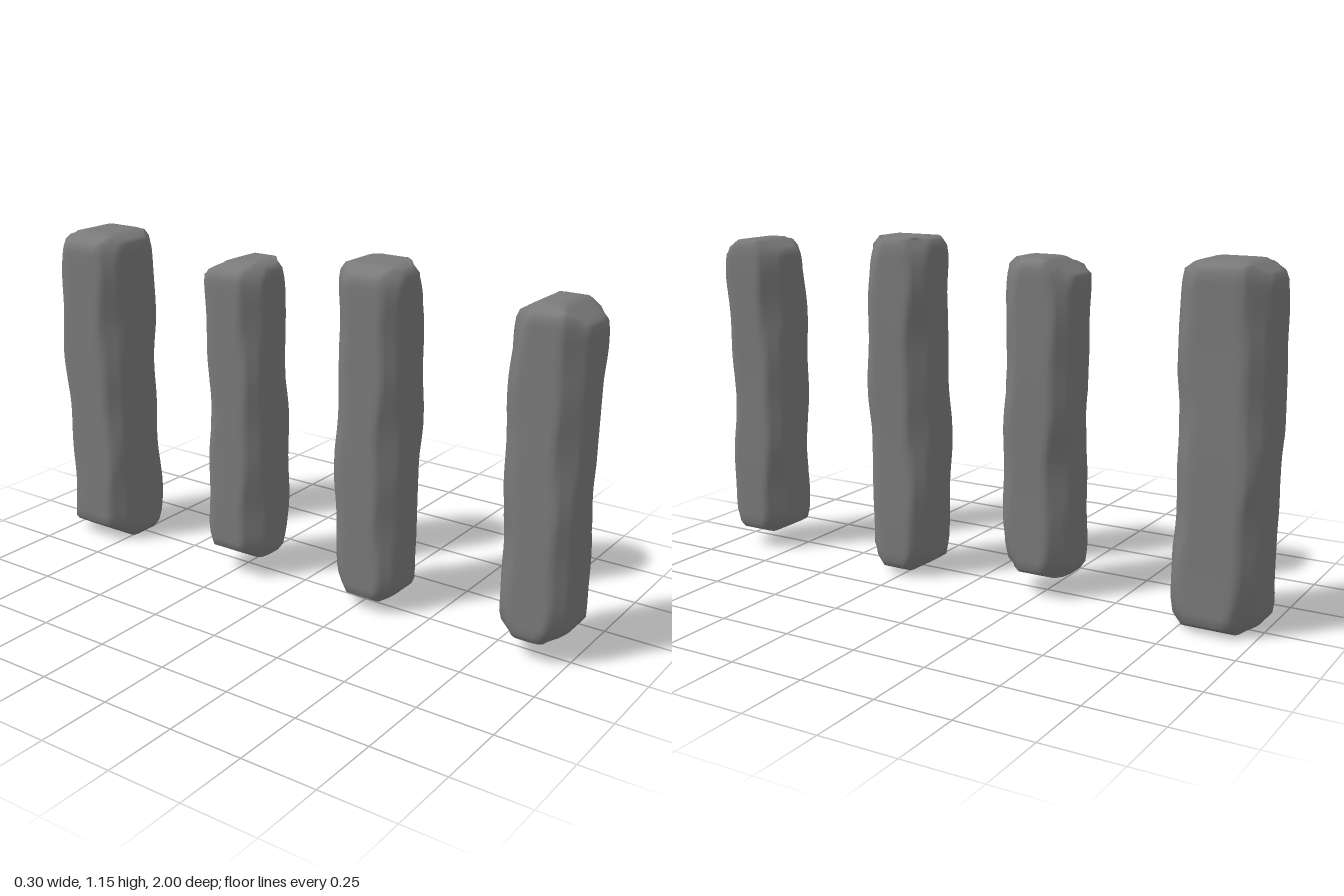
import * as THREE from 'three';
import { mergeVertices } from 'three/addons/utils/BufferGeometryUtils.js';

const material = new THREE.MeshStandardMaterial({ color: 0x7a7a7a });

// Centre, width and height range; the drops tell how far each end
// is worn away at its left, front, right and back edge.
const pillars = [
  { x: 0.03, z: 0.88, width: 0.24, base: 0.06, top: 1.12, topDrop: [0.01, 0.055, 0.03, 0.045], baseDrop: [0.015, 0.05, 0.015, 0.03] },
  { x: 0.03, z: 0.27, width: 0.24, base: 0.02, top: 1.155, topDrop: [0.01, 0.02, 0.035, 0.015], baseDrop: [0.01, 0.05, 0.035, 0.035] },
  { x: -0.01, z: -0.235, width: 0.24, base: 0.07, top: 1.11, topDrop: [0.02, 0.02, 0.04, 0.06], baseDrop: [0.02, 0.01, 0.035, 0.01] },
  { x: -0.015, z: -0.86, width: 0.28, base: 0, top: 1.135, topDrop: [0.02, 0.03, 0.04, 0.045], baseDrop: [0.03, 0.01, 0.06, 0.04] }
];

// Press a point back onto the sloping plane that cuts off one edge;
// u and v are the axes across the edge, each with its side and cut length
function chipEdge(p, half, u, sideU, cutU, v, sideV, cutV) {
  const depth = 1 - (half[u] - sideU * p[u]) / cutU - (half[v] - sideV * p[v]) / cutV;
  if (depth <= 0) return;
  const push = depth / (1 / cutU ** 2 + 1 / cutV ** 2);
  p[u] -= sideU * push / cutU;
  p[v] -= sideV * push / cutV;
}

function pillarGeometry({ width, base, top, topDrop, baseDrop }, index) {
  const box = new THREE.BoxGeometry(width, top - base, width, 12, 36, 12);
  box.deleteAttribute('uv');
  box.deleteAttribute('normal');
  const geometry = mergeVertices(box);
  const pos = geometry.attributes.position;
  const half = new THREE.Vector3(width, top - base, width).multiplyScalar(0.5);
  const radius = 0.03;
  const inner = half.clone().subScalar(radius);
  const innerMin = inner.clone().negate();
  const p = new THREE.Vector3(), core = new THREE.Vector3();

  for (let i = 0; i < pos.count; i++) {
    p.fromBufferAttribute(pos, i);
    const h = p.y;

    // soften every edge
    core.copy(p).clamp(innerMin, inner);
    p.sub(core).clampLength(0, radius).add(core);

    // worn upright edges whose width wanders with height and grows at the ends
    for (let k = 0; k < 4; k++) {
      const cut = 0.052 + 0.009 * Math.sin(h * 7 + index * 2.1 + k * 1.7)
        + 0.005 * Math.sin(h * 19 + index + k * 2.9)
        + 0.04 * Math.abs(h / half.y) ** 14;
      chipEdge(p, half, 'x', k % 2 ? 1 : -1, cut, 'z', k < 2 ? 1 : -1, cut);
    }

    // shallow hollows along the faces
    p.x *= 1 - 0.012 * (1 + Math.sin(h * 9 + index * 1.3 + Math.sign(p.x)));
    p.z *= 1 - 0.012 * (1 + Math.sin(h * 8 + index * 2.3 + 2 * Math.sign(p.z)));

    // worn ends, sloping towards left, front, right and back
    for (let k = 0; k < 4; k++) {
      const axis = k % 2 ? 'z' : 'x', side = k < 2 ? 1 : -1;
      for (const [end, drop] of [[1, topDrop[k]], [-1, baseDrop[k]]]) {
        chipEdge(p, half, axis, side, 0.02 + 1.2 * drop, 'y', end, drop);
      }
    }
    pos.setXYZ(i, p.x, p.y, p.z);
  }
  geometry.computeVertexNormals();
  return geometry;
}

export function createModel() {
  const group = new THREE.Group();
  group.name = 'stonePillars';
  pillars.forEach((spec, i) => {
    const pillar = new THREE.Mesh(pillarGeometry(spec, i), material);
    pillar.name = `pillar${i + 1}`;
    pillar.position.set(spec.x, (spec.base + spec.top) / 2, spec.z);
    group.add(pillar);
  });
  return group;
}
